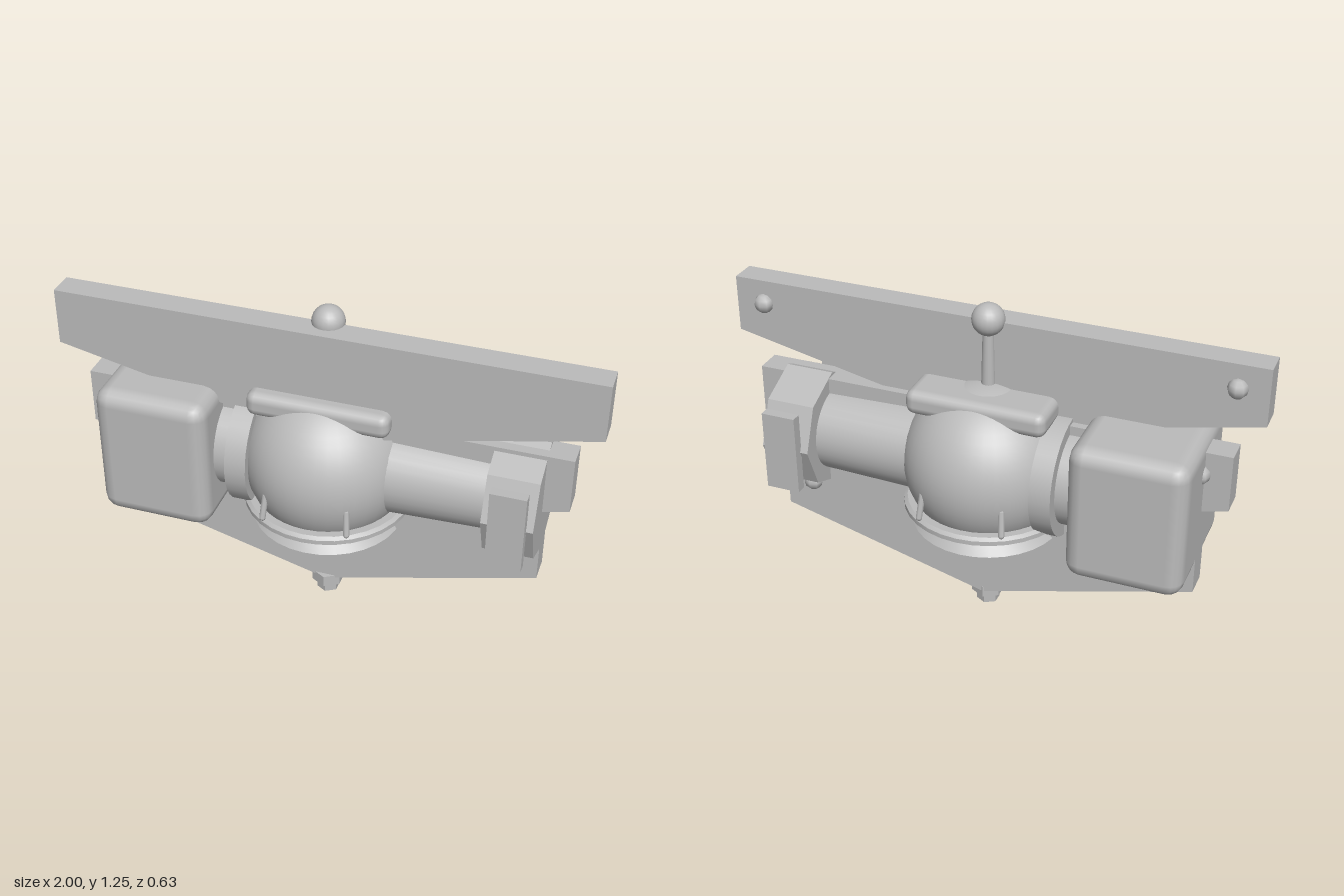
import * as THREE from 'three';
import { RoundedBoxGeometry } from 'three/addons/geometries/RoundedBoxGeometry.js';
import { toCreasedNormals } from 'three/addons/utils/BufferGeometryUtils.js';

export function createModel() {
  const model = new THREE.Group();
  model.name = 'valveAssembly';
  const grey = new THREE.MeshStandardMaterial({ color: 0xbbbbbb });
  grey.name = 'plain grey';
  const axisY = 0.63; // height of the pipe axis

  function add(name, geometry, x = 0, y = 0, z = 0) {
    const mesh = new THREE.Mesh(geometry, grey);
    mesh.name = name;
    mesh.position.set(x, y, z);
    model.add(mesh);
    return mesh;
  }
  // closed profile of [radius, height] points, spun with crisp edges
  function turned(points, sides = 32) {
    const profile = points.map(([r, h]) => new THREE.Vector2(r, h));
    return toCreasedNormals(new THREE.LatheGeometry(profile, sides), 0.6);
  }
  // cylinder along x
  function pipe(name, x0, x1, r0, r1, sides = 32) {
    const geometry = new THREE.CylinderGeometry(r1, r0, x1 - x0, sides);
    geometry.rotateZ(-Math.PI / 2);
    return add(name, geometry, (x0 + x1) / 2, axisY, 0);
  }

  // Three stacked plates with V-shaped lower edges, each with two rear bolts
  const plates = [
    { name: 'upperPlate', half: 1, low: 0.97, back: 0 },
    { name: 'middlePlate', half: 0.905, low: 0.63, back: -0.03 },
    { name: 'lowerPlate', half: 0.81, low: 0.28, back: -0.06 },
  ];
  for (const { name, half, low, back } of plates) {
    const shape = new THREE.Shape([
      new THREE.Vector2(-half, low + 0.215),
      new THREE.Vector2(-half, low),
      new THREE.Vector2(0, low - 0.215),
      new THREE.Vector2(half, low),
      new THREE.Vector2(half, low + 0.215),
    ]);
    add(name, new THREE.ExtrudeGeometry(shape, { depth: 0.1, bevelEnabled: false }), 0, 0, back);
    for (const side of [-1, 1]) {
      add('plateBolt', new THREE.SphereGeometry(0.037, 8, 6), side * (half - 0.11), low + 0.125, back);
    }
  }

  // Valve ball and the pipes leading into it
  add('valveBall', new THREE.SphereGeometry(0.312, 40, 28), 0, axisY, 0);
  pipe('outletPipe', 0.1, 0.66, 0.172, 0.157);
  pipe('inletNeck', -0.42, -0.1, 0.182, 0.182);
  pipe('inletFlange', -0.32, -0.24, 0.23, 0.23);

  // Motor housing
  add('motorHousing', new RoundedBoxGeometry(0.43, 0.53, 0.53, 2, 0.06), -0.595, axisY, 0);

  // Octagonal outlet flange with a lug on each side
  const flange = pipe('outletFlange', 0.625, 0.81, 0.228, 0.228, 8);
  flange.geometry = toCreasedNormals(flange.geometry, 0.5);
  for (const side of [-1, 1]) {
    add('flangeLug', new THREE.BoxGeometry(0.13, 0.31, 0.04), 0.72, axisY, side * 0.238);
  }

  // Bonnet cap, stem and knob
  add('bonnetCap', new RoundedBoxGeometry(0.53, 0.095, 0.31, 2, 0.035), 0, 0.882, 0);
  add('handleStem', new THREE.CylinderGeometry(0.02, 0.026, 0.24, 16), 0, 1.04, 0);
  add('handleKnob', new THREE.SphereGeometry(0.06, 20, 14), 0, 1.19, 0);

  // Collar and flared skirt below the ball
  add('collarRing', turned([
    [0.25, 0.44], [0.295, 0.44], [0.313, 0.45], [0.313, 0.467], [0.3, 0.477], [0.25, 0.477],
  ]));
  add('flaredSkirt', turned([
    [0.12, 0.378], [0.282, 0.378], [0.245, 0.42], [0.245, 0.45],
  ]));

  // Four small ribs standing on the lower ball
  for (const sx of [-1, 1]) {
    for (const sz of [-1, 1]) {
      const rib = add('ballRib', new THREE.CapsuleGeometry(0.012, 0.09, 3, 8), sx * 0.155, 0.54, sz * 0.268);
      rib.rotation.set(-sz * 0.2, 0, sx * 0.08);
    }
  }

  // Drain screw: rod through the lower plate with a stepped hex nut
  add('drainRod', new THREE.CylinderGeometry(0.04, 0.04, 0.17, 16), 0, 0.135, 0);
  for (const [name, r, y0, y1] of [['drainNut', 0.063, 0.04, 0.085], ['drainNutTip', 0.044, 0, 0.045]]) {
    const hex = new THREE.CylinderGeometry(r, r, y1 - y0, 6);
    add(name, toCreasedNormals(hex, 0.5), 0, (y0 + y1) / 2, 0);
  }

  return model;
}
